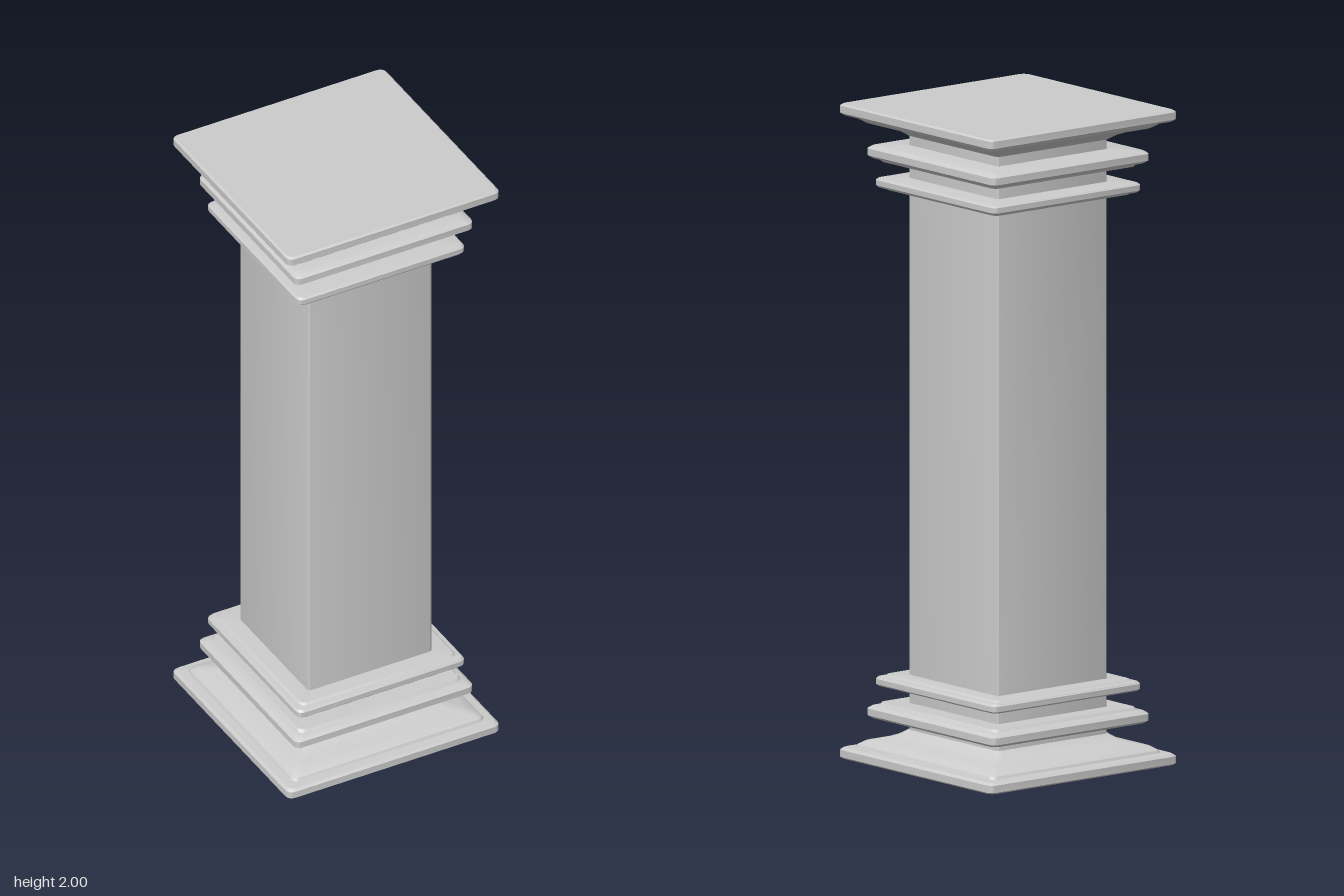
import * as THREE from 'three';
import { toCreasedNormals } from 'three/addons/utils/BufferGeometryUtils.js';

const material = new THREE.MeshStandardMaterial({ color: 0xcccccc });
const ARC = 3; // segments per rounded corner

// One rounded-square outline with half-width h at height y
function outline(h, y, radius) {
  const r = Math.min(radius, h), pts = [];
  for (let q = 0; q < 4; q++) {
    const mid = (q + 0.5) * Math.PI / 2;
    const cx = Math.sign(Math.cos(mid)) * (h - r), cz = Math.sign(Math.sin(mid)) * (h - r);
    for (let i = 0; i <= ARC; i++) {
      const a = (q + i / ARC) * Math.PI / 2;
      pts.push([cx + r * Math.cos(a), y, cz + r * Math.sin(a)]);
    }
  }
  return pts;
}

// Skin a [half-width, y] profile, running bottom to top, and cap its ends
function squareLoft(name, profile, radius) {
  const first = profile[0], last = profile[profile.length - 1];
  const full = [[0, first[1]], ...profile, [0, last[1]]];
  const loops = full.map(([h, y]) => outline(h, y, radius));
  const pos = [];
  for (let k = 0; k < loops.length - 1; k++) {
    const lo = loops[k], hi = loops[k + 1], n = lo.length;
    for (let i = 0; i < n; i++) {
      const j = (i + 1) % n;
      if (full[k + 1][0] > 0) pos.push(...lo[i], ...hi[i], ...hi[j]);
      if (full[k][0] > 0) pos.push(...lo[i], ...hi[j], ...lo[j]);
    }
  }
  const geo = new THREE.BufferGeometry();
  geo.setAttribute('position', new THREE.Float32BufferAttribute(pos, 3));
  const mesh = new THREE.Mesh(toCreasedNormals(geo, 0.45), material);
  mesh.name = name;
  return mesh;
}

// Profiles of the lower mouldings; the upper ones mirror them
const plinth = [
  [0.357, 0], [0.363, 0.005], [0.363, 0.027], [0.355, 0.034], [0.33, 0.036],
  [0.326, 0.044], [0.308, 0.056], [0.285, 0.062], [0.262, 0.068],
  [0.24, 0.077], [0.225, 0.087], [0.219, 0.092],
];
const wideRing = [
  [0.28, 0.122], [0.295, 0.126], [0.305, 0.134], [0.305, 0.155],
  [0.295, 0.163], [0.28, 0.166], [0.274, 0.174],
];
const narrowRing = [
  [0.268, 0.222], [0.282, 0.225], [0.287, 0.23], [0.287, 0.246],
  [0.282, 0.252], [0.268, 0.254], [0.262, 0.26],
];
const flip = (profile) => profile.map(([h, y]) => [h, 2 - y]).reverse();

export function createModel() {
  const model = new THREE.Group();
  model.name = 'squareColumn';

  // Shaft runs through all mouldings
  model.add(squareLoft('shaft', [[0.213, 0.06], [0.213, 1.94]], 0.012));

  // Matching base and capital
  const base = new THREE.Group(), capital = new THREE.Group();
  base.name = 'base';
  capital.name = 'capital';
  const parts = [['Plate', plinth], ['WideRing', wideRing], ['NarrowRing', narrowRing]];
  for (const [part, profile] of parts) {
    base.add(squareLoft('base' + part, profile, 0.02));
    capital.add(squareLoft('capital' + part, flip(profile), 0.02));
  }
  model.add(base, capital);
  return model;
}
